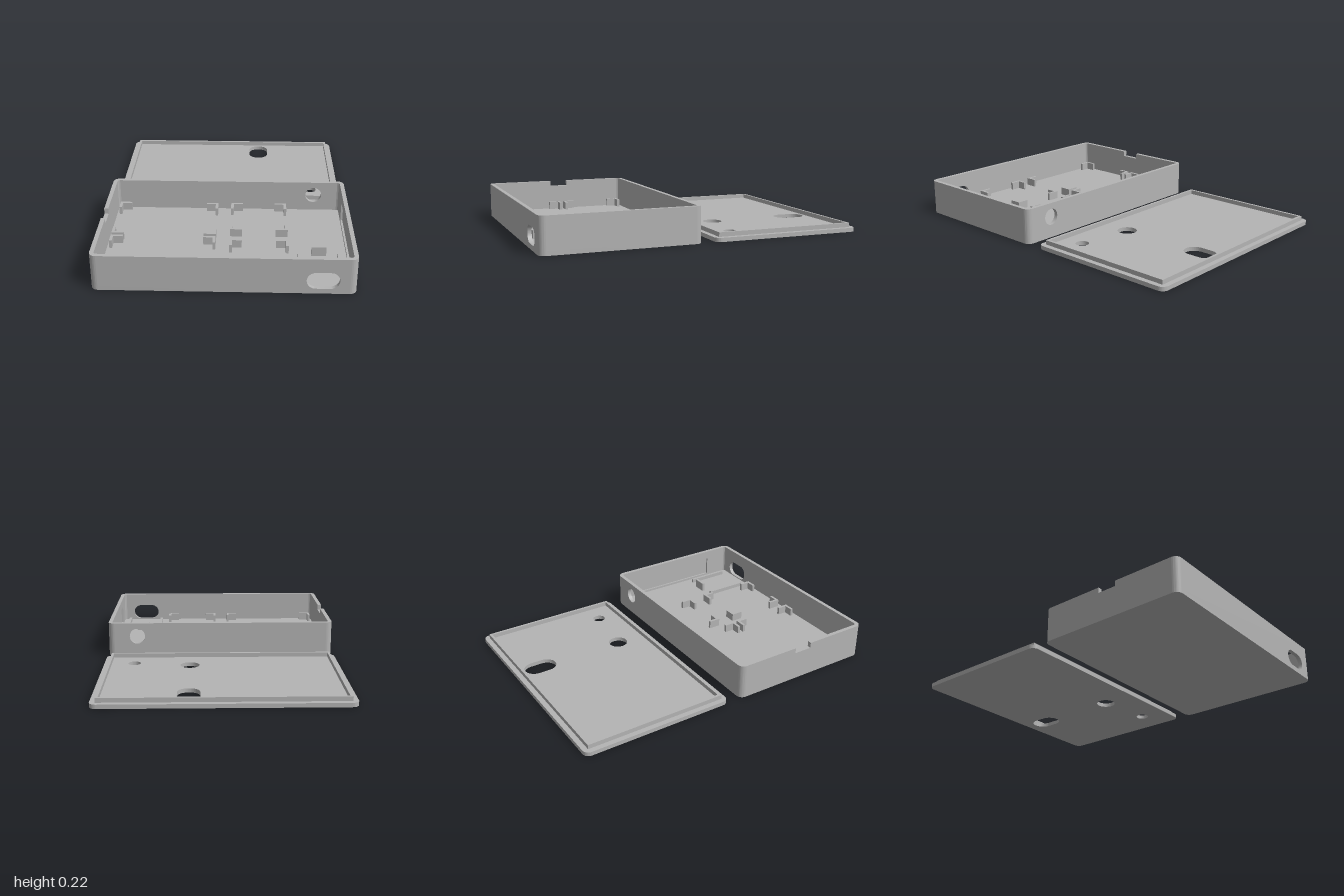
import * as THREE from 'three';
import { toCreasedNormals } from 'three/addons/utils/BufferGeometryUtils.js';

const HX = 0.74, HZ = 0.4785, MID = 0.5215;   // half sizes and z offset of each half
const R = 0.04, WALL = 0.025, FLOOR = 0.025, TOP = 0.22;

export function createModel() {
  const model = new THREE.Group();
  const plastic = new THREE.MeshStandardMaterial({ color: 0xb4b4b4 });
  plastic.name = 'grey plastic';

  const add = (parent, name, geo) => {
    const mesh = new THREE.Mesh(geo, plastic);
    mesh.name = name;
    parent.add(mesh);
    return mesh;
  };
  const extrude = (shape, depth) => toCreasedNormals(
    new THREE.ExtrudeGeometry(shape, { depth, bevelEnabled: false, curveSegments: 16 }), 0.6);
  // Plan shapes use (x, -z) and rise from height y
  const extrudeUp = (shape, y, h) => extrude(shape, h).rotateX(-Math.PI / 2).translate(0, y, 0);
  // Side shapes use (z, y) and run from x - depth to x
  const extrudeSide = (shape, x, d) => extrude(shape, d).rotateY(-Math.PI / 2).translate(x, 0, 0);

  const polygon = (...pts) => new THREE.Shape(pts.map(p => new THREE.Vector2(p[0], p[1])));
  const rect = (x0, y0, x1, y1) => polygon([x0, y0], [x1, y0], [x1, y1], [x0, y1]);
  const circle = (x, y, r) => new THREE.Path().absarc(x, y, r, 0, Math.PI * 2, true);
  // Slot with round ends, half length l between its two centres
  const slot = (x, y, r, l, upright) => {
    const p = new THREE.Path(), q = Math.PI / 2;
    if (upright) {
      p.absarc(x, y + l, r, 0, 2 * q, false);
      p.absarc(x, y - l, r, 2 * q, 4 * q, false);
    } else {
      p.absarc(x + l, y, r, -q, q, false);
      p.absarc(x - l, y, r, q, 3 * q, false);
    }
    p.closePath();
    return p;
  };
  const roundedRect = (hx, hy, r) => {
    const s = new THREE.Shape(), q = Math.PI / 2;
    s.absarc(hx - r, hy - r, r, 0, q, false);
    s.absarc(r - hx, hy - r, r, q, 2 * q, false);
    s.absarc(r - hx, r - hy, r, 2 * q, 3 * q, false);
    s.absarc(hx - r, r - hy, r, 3 * q, 4 * q, false);
    s.closePath();
    return s;
  };

  // ---- Open case ----
  const box = new THREE.Group();
  box.name = 'caseBody';
  box.position.z = MID;
  model.add(box);
  add(box, 'caseFloor', extrudeUp(roundedRect(HX, HZ, R), 0, FLOOR));

  // Front wall with a connector slot, back wall with a round opening
  const ex = HX - R, ez = HZ - R;
  const front = rect(-ex, FLOOR, ex, TOP);
  front.holes.push(slot(0.551, 0.083, 0.0515, 0.041, false));
  add(box, 'frontWall', extrude(front, WALL).translate(0, 0, HZ - WALL));
  const back = rect(-ex, FLOOR, ex, TOP);
  back.holes.push(circle(0.55, 0.132, 0.051));
  add(box, 'backWall', extrude(back, WALL).translate(0, 0, -HZ));

  // Right wall with a cable notch in its rim
  const n0 = 0.456 - MID, n1 = 0.575 - MID, ny = TOP - 0.035;
  add(box, 'rightWall', extrudeSide(polygon([-ez, FLOOR], [ez, FLOOR], [ez, TOP],
    [n1, TOP], [n1, ny], [n0, ny], [n0, TOP], [-ez, TOP]), -HX + WALL, WALL));

  // Left wall with a shallow recess on the inside
  add(box, 'leftWallOuter', extrudeSide(rect(-ez, FLOOR, ez, TOP), HX, WALL / 2));
  const inner = rect(-ez, FLOOR, ez, TOP);
  inner.holes.push(rect(-0.29, 0.04, 0.29, 0.162));
  add(box, 'leftWallInner', extrudeSide(inner, HX - WALL / 2, WALL / 2));

  // Rounded corners joining the walls
  for (let i = 0; i < 4; i++) {
    const a = i * Math.PI / 2, s = new THREE.Shape();
    const sx = i === 0 || i === 3 ? 1 : -1, sy = i < 2 ? 1 : -1;
    s.absarc(sx * ex, sy * ez, R, a, a + Math.PI / 2, false);
    s.absarc(sx * ex, sy * ez, R - WALL, a + Math.PI / 2, a, true);
    s.closePath();
    add(box, 'wallCorner', extrudeUp(s, FLOOR, TOP - FLOOR));
  }

  // L-shaped brackets holding four rectangular boards: x0, x1, z0, z1
  const block = (name, x0, x1, z0, z1, top) => {
    const h = top - FLOOR;
    add(box, name, new THREE.BoxGeometry(x1 - x0, h, z1 - z0)
      .translate((x0 + x1) / 2, FLOOR + h / 2, (z0 + z1) / 2 - MID));
  };
  const arm = 0.075, t = 0.017;
  const boards = [
    [-0.70, -0.063, 0.09, 0.49], [-0.70, -0.063, 0.515, 0.95],
    [0.02, 0.375, 0.085, 0.43], [0.02, 0.375, 0.545, 0.95],
  ];
  for (const [x0, x1, z0, z1] of boards) {
    for (const [x, dx] of [[x0, 1], [x1, -1]]) {
      for (const [z, dz] of [[z0, -1], [z1, 1]]) {
        const y = -z + MID;
        const pts = [[0, 0], [arm, 0], [arm, t], [t, t], [t, arm], [0, arm]]
          .map(([u, v]) => [x + dx * u, y + dz * v]);
        add(box, 'boardBracket', extrudeUp(polygon(...pts), FLOOR, 0.05));
      }
    }
  }

  // Guide ribs behind the connector slot
  block('guideRib', 0.423, 0.442, 0.645, 0.92, 0.05);
  block('guideRib', 0.658, 0.677, 0.645, 0.92, 0.05);
  block('stopRib', 0.507, 0.595, 0.627, 0.644, 0.083);

  // ---- Lid, lying upside down behind the case ----
  const lid = new THREE.Group();
  lid.name = 'lid';
  lid.position.z = -MID;
  model.add(lid);
  const plate = roundedRect(HX, HZ, R);
  plate.holes.push(
    slot(0.198, 0.832 - MID, 0.066, 0.037, true),
    circle(0.198, 0.268 - MID, 0.06),
    circle(0.55, 0.222 - MID, 0.04));
  add(lid, 'lidPlate', extrudeUp(plate, 0, 0.025));

  // Raised lip that fits inside the walls
  const lx = HX - 0.032, lz = HZ - 0.032, lt = 0.016;
  const lip = rect(-lx, -lz, lx, lz);
  lip.holes.push(rect(-lx + lt, -lz + lt, lx - lt, lz - lt));
  add(lid, 'lidLip', extrudeUp(lip, 0.025, 0.027));

  return model;
}
